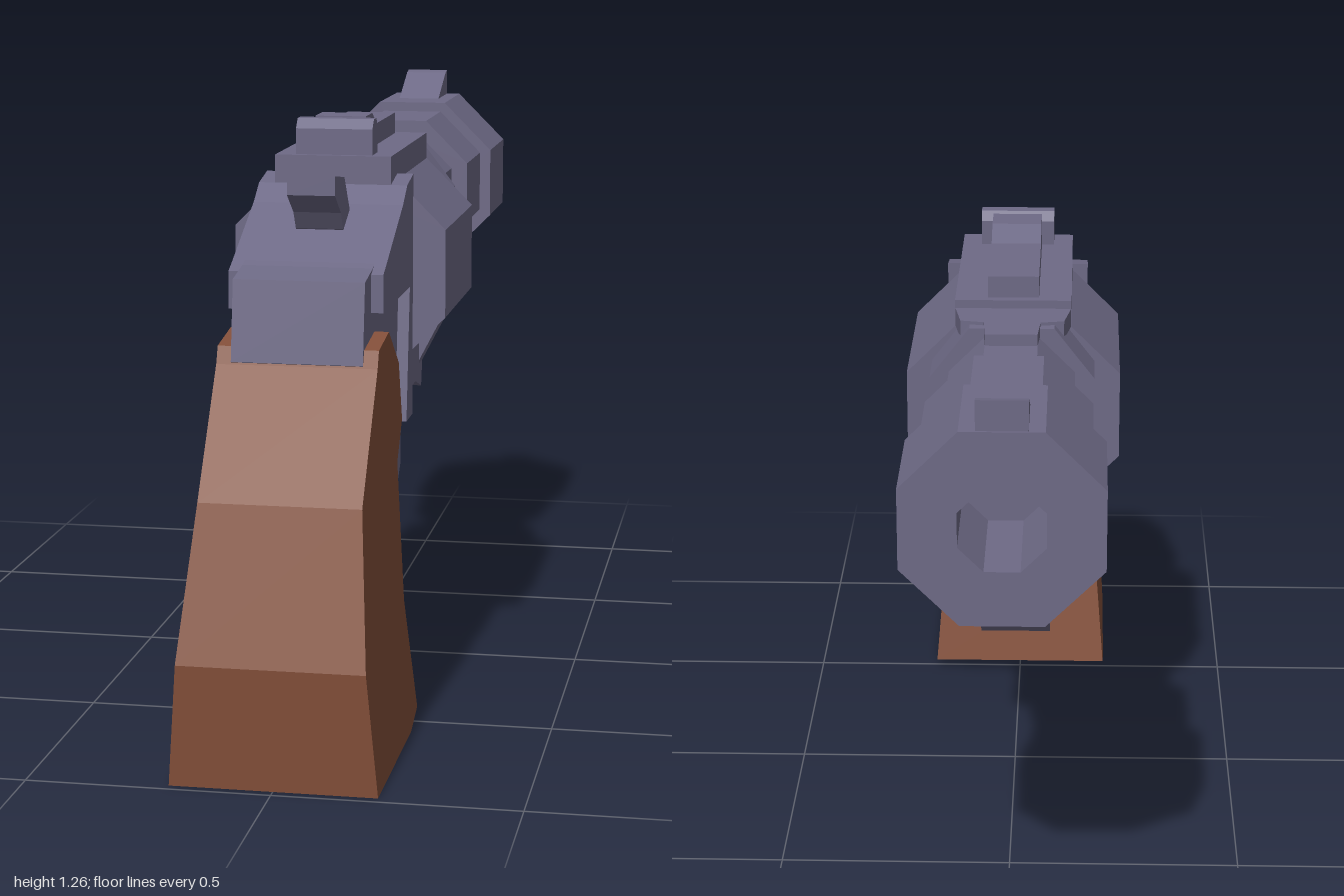
import * as THREE from 'three';

const metal = new THREE.MeshStandardMaterial({ color: 0x6e6a86 });
metal.name = 'gunmetal';
const wood = new THREE.MeshStandardMaterial({ color: 0x84503a });
wood.name = 'walnut';

const toShape = (pts) => new THREE.Shape(pts.map(([a, b]) => new THREE.Vector2(a, b)));

// Octagon with flats on top and sides; r is the distance to a flat
function octagon(r, cy) {
  const R = r / Math.cos(Math.PI / 8);
  return Array.from({ length: 8 }, (_, i) => {
    const a = Math.PI / 8 + (i * Math.PI) / 4;
    return [R * Math.cos(a), cy + R * Math.sin(a)];
  });
}

// Side profile of [z, y] points, extruded symmetrically across x
function sideGeometry(pts, width, hole) {
  const shape = toShape(pts);
  if (hole) shape.holes.push(toShape(hole));
  const g = new THREE.ExtrudeGeometry(shape, { depth: width, bevelEnabled: false });
  return g.translate(0, 0, -width / 2).rotateY(-Math.PI / 2);
}

// Cross-section of [x, y] points, extruded from z0 to z1
function alongZ(pts, z0, z1, hole) {
  const shape = toShape(pts);
  if (hole) shape.holes.push(toShape(hole));
  const g = new THREE.ExtrudeGeometry(shape, { depth: z1 - z0, bevelEnabled: false });
  return g.translate(0, 0, z0);
}

export function createModel() {
  const model = new THREE.Group();
  model.name = 'revolver';
  const add = (name, geometry, material = metal) => {
    const mesh = new THREE.Mesh(geometry, material);
    mesh.name = name;
    model.add(mesh);
    return mesh;
  };

  // Stepped octagonal barrel with a bored muzzle
  add('muzzle', alongZ(octagon(0.198, 1.006), -1, -0.74, octagon(0.085, 1.006)));
  add('barrelMiddle', alongZ(octagon(0.172, 1.01), -0.745, -0.505));
  add('barrelRear', alongZ(octagon(0.134, 1.013), -0.51, -0.27));
  add('frontSight', sideGeometry([[-0.84, 1.2], [-0.97, 1.26], [-0.995, 1.265], [-0.995, 1.2]], 0.1));

  // Ejector rod below the barrel
  add('ejectorHousing', alongZ(octagon(0.062, 0.812), -0.505, -0.27));
  add('ejectorRod', alongZ(octagon(0.03, 0.8), -0.56, -0.5));
  add('ejectorKnob', alongZ(octagon(0.04, 0.8), -0.655, -0.555));

  // Cartridge cylinder
  add('cylinder', alongZ(octagon(0.231, 0.93), -0.165, 0.25));

  // Front of the frame
  const half = [[0.1, 0.64], [0.175, 0.785], [0.175, 1.055], [0.09, 1.165]];
  add('frameFront', alongZ([...half, ...half.map(([x, y]) => [-x, y]).reverse()], -0.28, -0.16));
  add('frameFrontFoot', sideGeometry(
    [[-0.1, 0.62], [-0.15, 0.615], [-0.26, 0.58], [-0.28, 0.66], [-0.28, 0.8], [-0.1, 0.8]], 0.2));

  // Lower and rear frame
  add('frameBottom', sideGeometry([[0.42, 0.62], [-0.16, 0.62], [-0.16, 0.74], [0.42, 0.74]], 0.22));
  add('frameRear', sideGeometry(
    [[0.42, 0.62], [0.25, 0.62], [0.25, 1.08], [0.45, 1.05], [0.61, 0.995], [0.7, 0.98], [0.725, 0.815]], 0.27));
  add('framePlate', sideGeometry(
    [[0.63, 0.907], [0.29, 0.907], [0.33, 0.62], [0.248, 0.62], [0.248, 1.145], [0.33, 1.13],
      [0.385, 1.095], [0.605, 0.995], [0.63, 0.985]], 0.32));

  // Top strap, narrowing toward the barrel
  add('topStrap', sideGeometry(
    [[0.33, 1.13], [0.33, 1.19], [-0.165, 1.19], [-0.165, 1.13]], 0.25));
  const plan = [[0.125, -0.16], [0.11, -0.25], [0.06, -0.26], [0.055, -0.34]];
  const nose = new THREE.ExtrudeGeometry(
    toShape([...plan, ...plan.map(([x, z]) => [-x, z]).reverse()]), { depth: 0.04, bevelEnabled: false });
  add('strapNose', nose.rotateX(Math.PI / 2).translate(0, 1.172, 0));
  add('sightRib', sideGeometry(
    [[0.24, 1.18], [0.24, 1.265], [0.16, 1.265], [0.1, 1.237], [-0.145, 1.237], [-0.145, 1.18]], 0.11));
  add('rearSight', sideGeometry(
    [[0.315, 1.18], [0.315, 1.245], [0.295, 1.265], [0.265, 1.265], [0.25, 1.245], [0.25, 1.18]], 0.165));

  // Hammer
  add('hammer', sideGeometry(
    [[0.57, 1.175], [0.465, 1.162], [0.4, 1.08], [0.45, 1.03], [0.48, 1.055], [0.505, 1.092], [0.57, 1.135]], 0.1));

  // Trigger and its guard
  add('triggerGuard', sideGeometry(
    [[0.405, 0.66], [0.405, 0.44], [0.2, 0.315], [0.04, 0.315], [-0.085, 0.435], [-0.085, 0.545],
      [-0.15, 0.615], [-0.15, 0.66]], 0.16,
    [[0.305, 0.62], [0.305, 0.48], [0.235, 0.415], [0.085, 0.415], [0.015, 0.48], [0.015, 0.62]]));
  add('triggerMount', sideGeometry([[0.305, 0.63], [0.305, 0.61], [0.24, 0.565], [0.165, 0.565], [0.165, 0.63]], 0.12));
  add('trigger', sideGeometry(
    [[0.235, 0.58], [0.205, 0.505], [0.125, 0.435], [0.095, 0.472], [0.16, 0.525], [0.175, 0.58]], 0.07));

  // Grip, flaring in width toward the butt
  const upper = [[0.725, 0.81], [0.71, 0.845], [0.59, 0.862], [0.465, 0.775], [0.42, 0.645], [0.48, 0.565]];
  const lower = [[0.9, 0.565], [0.48, 0.565], [0.53, 0.28], [0.475, 0.03], [0.57, 0.005], [0.98, 0.005], [1, 0.26]];
  add('gripUpper', sideGeometry([...upper, [0.9, 0.565]], 0.33), wood);
  const flared = sideGeometry(lower, 0.33);
  const p = flared.attributes.position;
  for (let i = 0; i < p.count; i++) {
    const flare = 1 + 0.28 * (0.565 - p.getY(i)) / 0.565;
    p.setX(i, p.getX(i) * flare);
  }
  flared.computeVertexNormals();
  add('gripLower', flared, wood);

  return model;
}
